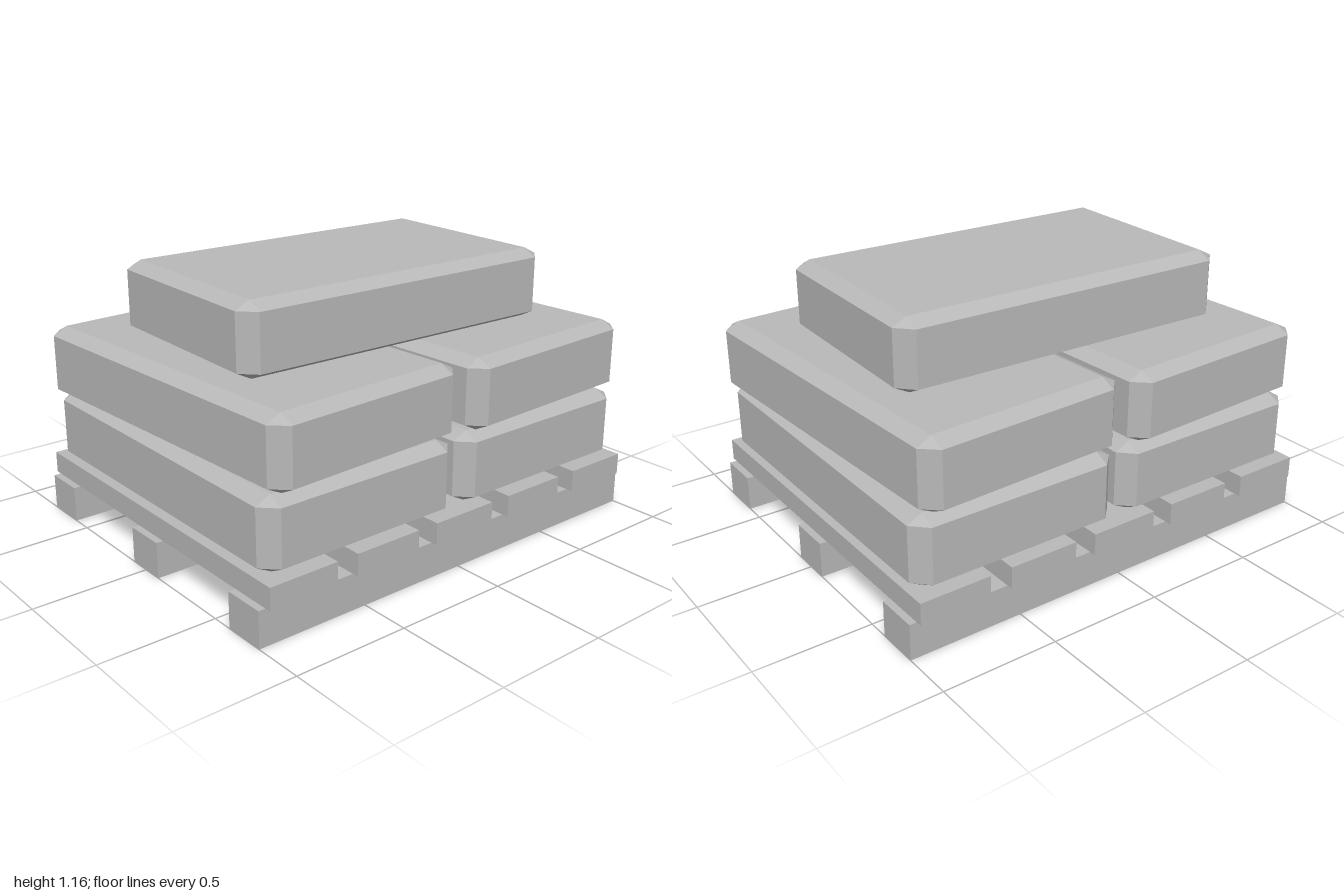
import * as THREE from 'three';
import { ConvexGeometry } from 'three/addons/geometries/ConvexGeometry.js';

// Box with chamfered edges: c is the chamfer across the plan, cy its height
function sackGeometry(w, h, d, c, cy) {
  const points = [];
  for (const sx of [-1, 1]) for (const sy of [-1, 1]) for (const sz of [-1, 1]) {
    const x = w / 2, y = h / 2, z = d / 2;
    points.push(
      new THREE.Vector3(sx * x, sy * (y - cy), sz * (z - c)),
      new THREE.Vector3(sx * (x - c), sy * y, sz * (z - c)),
      new THREE.Vector3(sx * (x - c), sy * (y - cy), sz * z)
    );
  }
  return new ConvexGeometry(points);
}

export function createModel() {
  const model = new THREE.Group();
  model.name = 'loadedPallet';
  const grey = new THREE.MeshStandardMaterial({ color: 0xb8b8b8 });
  grey.name = 'grey';

  const add = (parent, name, geometry, x, y, z, turn = 0) => {
    const mesh = new THREE.Mesh(geometry, grey);
    mesh.name = name;
    mesh.position.set(x, y, z);
    mesh.rotation.y = turn;
    parent.add(mesh);
  };

  // Pallet: three runners under five deck boards
  const pallet = new THREE.Group();
  pallet.name = 'pallet';
  model.add(pallet);
  const runner = new THREE.BoxGeometry(0.187, 0.155, 2);
  const board = new THREE.BoxGeometry(1.62, 0.095, 0.31);
  for (let i = -1; i <= 1; i++) add(pallet, 'runner', runner, i * 0.687, 0.0775, 0);
  for (let i = -2; i <= 2; i++) add(pallet, 'deckBoard', board, 0, 0.2025, i * 0.407);

  // Sacks: two layers of two, and one laid crosswise on top
  const sacks = new THREE.Group();
  sacks.name = 'sacks';
  model.add(sacks);
  const height = 0.305;
  const sack = sackGeometry(1.56, height, 0.94, 0.065, 0.033);
  const layerY = (layer) => 0.25 + height * (layer + 0.5);
  for (const side of [-1, 1]) {
    add(sacks, 'lowerSack', sack, 0, layerY(0), side * 0.487);
    add(sacks, 'middleSack', sack, 0, layerY(1), side * 0.487, 0.05);
  }
  add(sacks, 'topSack', sack, 0, layerY(2), 0, Math.PI / 2 - 0.03);

  return model;
}
